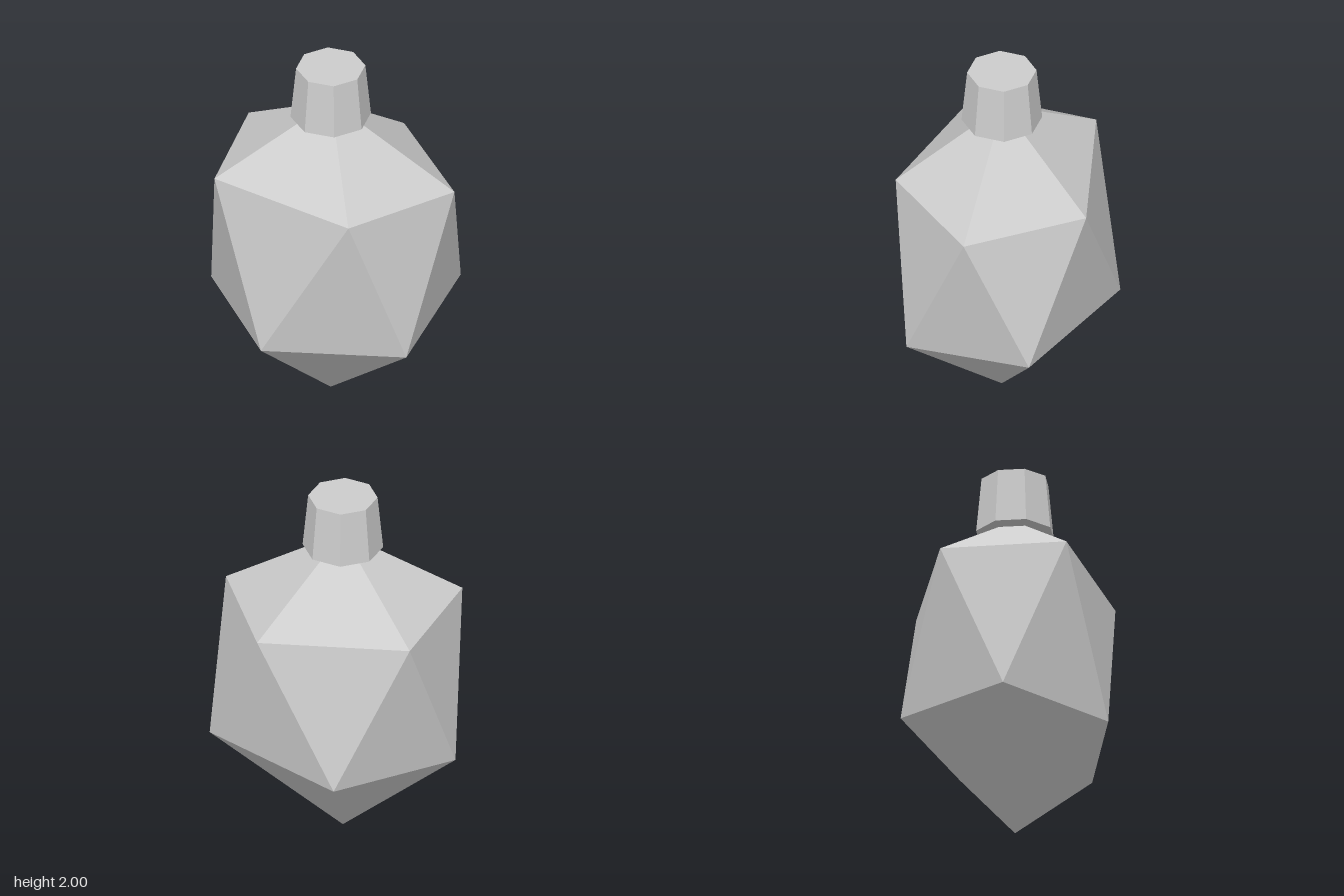
import * as THREE from 'three';

// Faceted body: two offset five-point rings closed by a point above and below
function bodyGeometry() {
  const top = [-0.01, 1.78, 0.03];
  const base = [-0.01, 0, 0.035];
  const upper = [[0.655, 1.34, 0.03], [0.23, 1.36, 0.535], [-0.545, 1.405, 0.35], [-0.55, 1.39, -0.305], [0.23, 1.345, -0.5]];
  const lower = [[0.5, 0.51, 0.39], [-0.24, 0.51, 0.54], [-0.655, 0.565, 0.03], [-0.225, 0.58, -0.54], [0.592, 0.595, -0.305]];
  const corners = [];
  for (let i = 0; i < 5; i++) {
    const n = (i + 1) % 5;
    corners.push(
      top, upper[n], upper[i],
      upper[i], upper[n], lower[i],
      lower[i], upper[n], lower[n],
      base, lower[i], lower[n]
    );
  }
  const geometry = new THREE.BufferGeometry();
  geometry.setAttribute('position', new THREE.Float32BufferAttribute(corners.flat(), 3));
  geometry.computeVertexNormals();
  return geometry;
}

export function createModel() {
  const model = new THREE.Group();
  model.name = 'ornament';

  const grey = new THREE.MeshStandardMaterial({ color: 0xcccccc, flatShading: true });
  grey.name = 'light grey';

  const body = new THREE.Mesh(bodyGeometry(), grey);
  body.name = 'body';
  model.add(body);

  // Eight-sided tapered cap
  const cap = new THREE.Mesh(
    new THREE.CylinderGeometry(0.18, 0.209, 0.3, 8, 1, false, THREE.MathUtils.degToRad(21)),
    grey
  );
  cap.name = 'cap';
  cap.position.set(-0.01, 1.85, 0.035);
  model.add(cap);

  return model;
}
